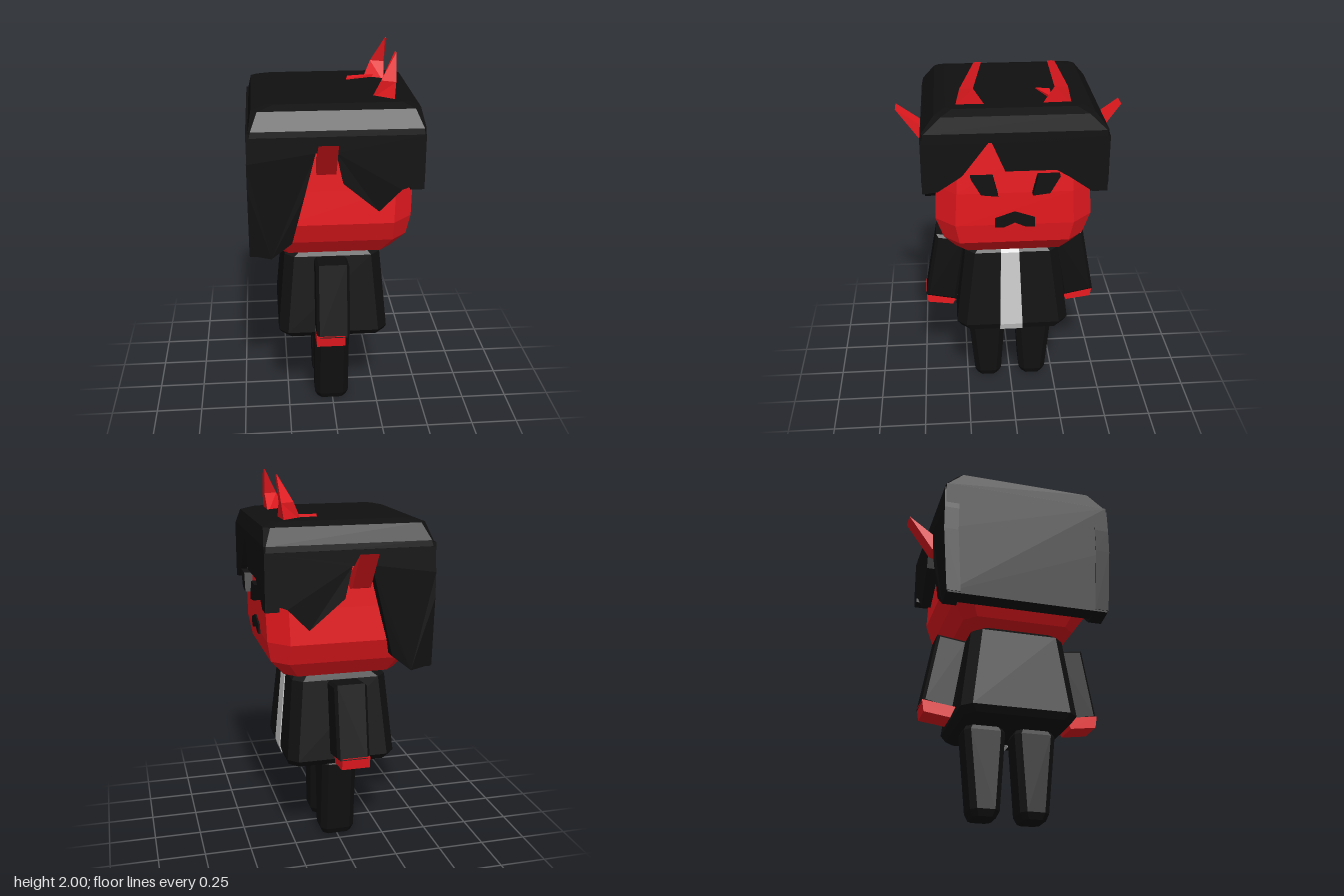
import * as THREE from 'three';

const mat = (color) => new THREE.MeshStandardMaterial({ color, flatShading: true, side: THREE.DoubleSide });

// Eight-sided horizontal section: a rectangle with cut corners
function oct(y, x0, x1, z0, z1, c) {
  return [[x1, z0 + c], [x1, z1 - c], [x1 - c, z1], [x0 + c, z1],
    [x0, z1 - c], [x0, z0 + c], [x0 + c, z0], [x1 - c, z0]].map(([x, z]) => [x, y, z]);
}

// Closed solid through a stack of sections, from bottom to top
function loft(sections) {
  const n = sections[0].length, pos = [];
  const tri = (a, b, c) => pos.push(...a, ...b, ...c);
  for (let s = 0; s < sections.length - 1; s++) {
    const lo = sections[s], hi = sections[s + 1];
    for (let i = 0; i < n; i++) {
      const j = (i + 1) % n;
      tri(lo[i], hi[i], lo[j]);
      tri(lo[j], hi[i], hi[j]);
    }
  }
  const bottom = sections[0], top = sections[sections.length - 1];
  for (let i = 1; i < n - 1; i++) {
    tri(bottom[0], bottom[i], bottom[i + 1]);
    tri(top[0], top[i + 1], top[i]);
  }
  const g = new THREE.BufferGeometry();
  g.setAttribute('position', new THREE.Float32BufferAttribute(pos, 3));
  g.computeVertexNormals();
  return g;
}

function extrude(points, depth, bevel) {
  const shape = new THREE.Shape(points.map(([x, y]) => new THREE.Vector2(x, y)));
  return new THREE.ExtrudeGeometry(shape, {
    depth: depth - 2 * bevel, bevelEnabled: bevel > 0, bevelSegments: 1,
    bevelSize: bevel, bevelThickness: bevel, bevelOffset: -bevel,
  }).translate(0, 0, bevel);
}
// Slab from an [x, y] outline, between two z values
const slabZ = (points, z0, z1) => extrude(points, z1 - z0, 0).translate(0, 0, z0);
// Slab from a [z, y] outline, between two x values
const slabX = (points, x0, x1, bevel = 0) =>
  extrude(points.map(([z, y]) => [-z, y]), x1 - x0, bevel).rotateY(Math.PI / 2).translate(x0, 0, 0);

// Hair narrows slightly below the cheeks
function taper(g) {
  const p = g.attributes.position;
  for (let i = 0; i < p.count; i++) p.setZ(i, p.getZ(i) * (1 - 0.14 * Math.max(0, 1.4 - p.getY(i))));
  g.computeVertexNormals();
  return g;
}

export function createModel() {
  const root = new THREE.Group();
  const black = mat(0x101010), red = mat(0xe8191f), grey = mat(0xcccccc);
  const add = (name, geometry, material, parent = root) => {
    const m = new THREE.Mesh(geometry, material);
    m.name = name;
    parent.add(m);
    return m;
  };

  // Head
  add('head', loft([
    oct(0.965, -0.22, 0.22, -0.22, 0.22, 0.04),
    oct(0.985, -0.30, 0.30, -0.30, 0.30, 0.06),
    oct(1.07, -0.36, 0.375, -0.36, 0.36, 0.08),
    oct(1.18, -0.39, 0.395, -0.40, 0.40, 0.10),
    oct(1.36, -0.39, 0.40, -0.39, 0.39, 0.10),
    oct(1.70, -0.38, 0.385, -0.38, 0.38, 0.10),
  ]), red);

  // Hair: crown, back panel and jagged fringe
  const hair = new THREE.Group();
  hair.name = 'hair';
  root.add(hair);
  add('hairCrown', loft([
    oct(1.64, -0.432, 0.43, -0.455, 0.455, 0.005),
    oct(1.69, -0.425, 0.43, -0.45, 0.45, 0.01),
    oct(1.77, -0.41, 0.415, -0.385, 0.385, 0.03),
    oct(1.79, -0.33, 0.36, -0.33, 0.33, 0.03),
  ]), black, hair);
  add('hairBack', taper(slabX(
    [[0.45, 1.68], [0.45, 1.4], [0.45, 1.03], [-0.45, 1.03], [-0.45, 1.4], [-0.45, 1.68]], -0.438, -0.34)), black, hair);
  add('hairFringe', slabX([
    [0.455, 1.66], [0.455, 1.38], [0.38, 1.39], [0.26, 1.47], [0.12, 1.655], [0.05, 1.49],
    [-0.2, 1.49], [-0.26, 1.455], [-0.38, 1.37], [-0.455, 1.37], [-0.455, 1.66],
  ], 0.36, 0.43), black, hair);

  // Facial features
  add('mouth', slabX([
    [0.1, 1.22], [0, 1.255], [-0.1, 1.22], [-0.1, 1.17], [-0.055, 1.17], [0, 1.195], [0.055, 1.17], [0.1, 1.17],
  ], 0.37, 0.405), black);

  // Jacket with a pale front strip
  add('jacket', loft([
    oct(0.47, -0.28, 0.28, -0.28, 0.28, 0.05),
    oct(0.505, -0.30, 0.29, -0.305, 0.305, 0.05),
    oct(0.935, -0.26, 0.25, -0.25, 0.25, 0.05),
    oct(0.965, -0.22, 0.22, -0.22, 0.22, 0.05),
  ]), black);
  add('shirtStrip', loft([
    oct(0.467, 0.20, 0.284, -0.055, 0.07, 0.001),
    oct(0.505, 0.20, 0.295, -0.053, 0.07, 0.001),
    oct(0.935, 0.20, 0.255, -0.036, 0.062, 0.001),
    oct(0.967, 0.18, 0.224, -0.035, 0.06, 0.001),
  ]), grey);

  // Paired parts: built on +z and mirrored
  for (const side of ['right', 'left']) {
    const half = new THREE.Group();
    half.name = side + 'Side';
    if (side === 'left') half.scale.z = -1;
    root.add(half);
    const part = (name, geometry, material) => add(side + name, geometry, material, half);

    part('HairPanel', taper(slabZ([
      [-0.432, 1.66], [-0.44, 1.53], [-0.44, 1.4], [-0.44, 1.04], [-0.33, 1.015], [-0.225, 1.10], [-0.16, 1.36],
      [-0.105, 1.58], [-0.005, 1.58], [0.03, 1.42], [0.21, 1.265], [0.32, 1.38], [0.43, 1.42], [0.43, 1.66],
    ], 0.38, 0.457)), black);
    part('Eye', slabX([[0.22, 1.46], [0.11, 1.46], [0.085, 1.36], [0.17, 1.37]], 0.37, 0.44), black);
    part('Ear', slabX([[0.59, 1.66], [0.45, 1.56], [0.37, 1.53], [0.37, 1.48], [0.42, 1.46], [0.455, 1.47]], -0.10, -0.005), red);
    part('Horn', loft([
      [[0.30, 1.77, 0.13], [0.295, 1.77, 0.285], [0.19, 1.77, 0.20]],
      [[0.305, 1.87, 0.195], [0.305, 1.87, 0.26], [0.235, 1.87, 0.225]],
      [[0.312, 2.0, 0.155], [0.312, 2.0, 0.19], [0.305, 2.0, 0.175]],
    ]), red);
    part('Sleeve', slabX([[0.405, 0.955], [0.24, 0.932], [0.305, 0.53], [0.475, 0.565]], -0.105, 0.07, 0.015), black);
    part('Hand', slabX([[0.475, 0.575], [0.465, 0.51], [0.325, 0.49], [0.30, 0.55]], -0.105, 0.045), red);
    part('Leg', loft([
      oct(0.005, -0.085, 0.075, 0.07, 0.19, 0.025),
      oct(0.04, -0.10, 0.09, 0.053, 0.206, 0.03),
      oct(0.45, -0.10, 0.09, 0.025, 0.245, 0.03),
      oct(0.48, -0.085, 0.075, 0.04, 0.23, 0.03),
    ]).translate(0, -0.005, 0), black);
  }

  // Small sliver beside the left horn
  add('hornSliver', loft([
    [[0.27, 1.785, -0.19], [0.095, 1.785, -0.125], [0.11, 1.785, -0.195]],
    [[0.27, 1.805, -0.19], [0.095, 1.795, -0.125], [0.11, 1.795, -0.195]],
  ]), red);

  return root;
}
